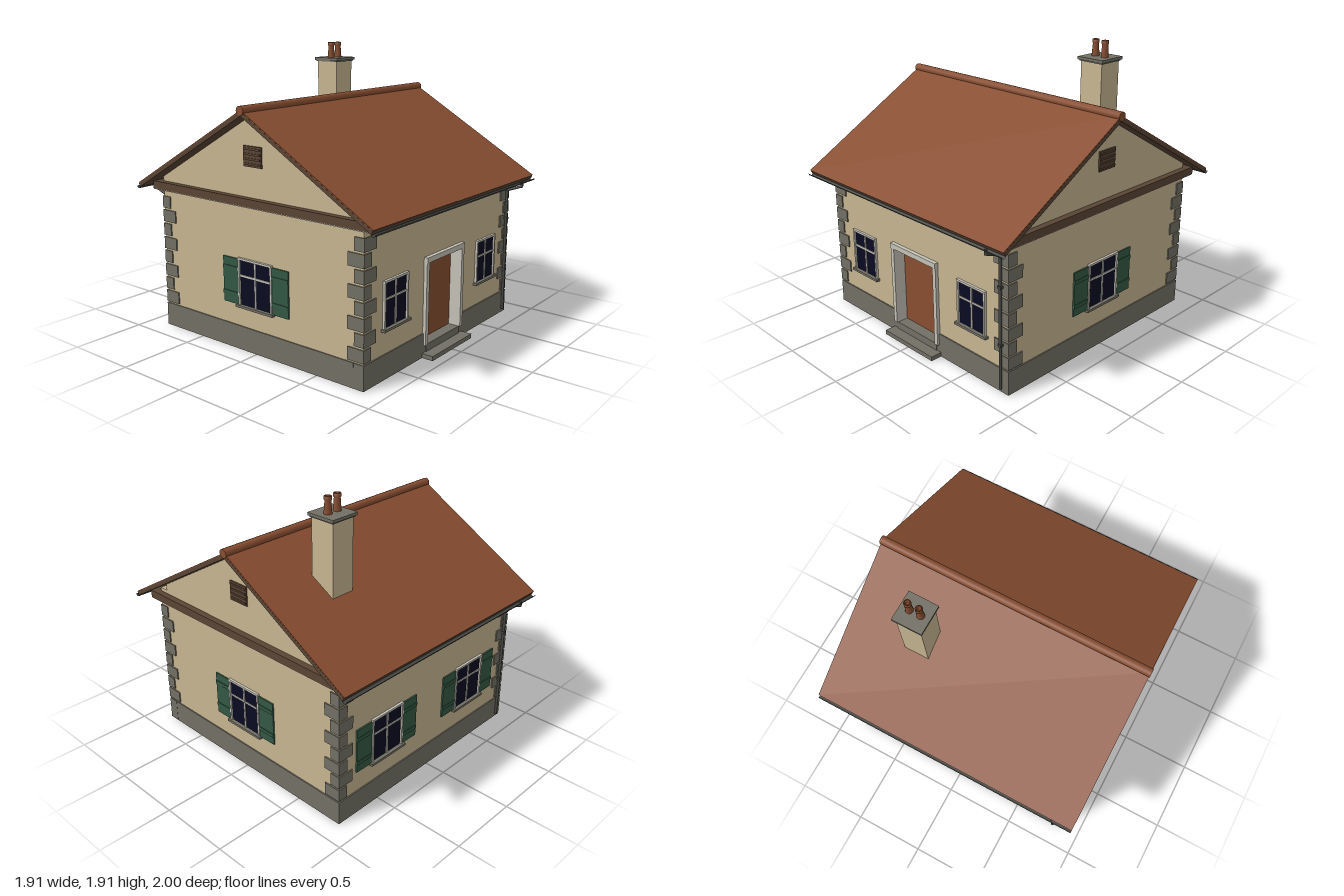
import * as THREE from 'three';

const paint = (name, color) => {
  const m = new THREE.MeshStandardMaterial({ color });
  m.name = name;
  return m;
};

export function createModel() {
  const house = new THREE.Group();
  house.name = 'house';
  const render = paint('cream render', 0xc8b692);
  const stone = paint('grey stone', 0x727065);
  const tile = paint('clay tile', 0x884e31);
  const timber = paint('brown timber', 0x5a4535);
  const trim = paint('pale trim', 0xc6c2b7);
  const glass = paint('dark glass', 0x0b0b22);
  const green = paint('green shutter', 0x335844);
  const metal = paint('dark metal', 0x484844);
  metal.side = THREE.DoubleSide;
  tile.side = THREE.DoubleSide;

  const add = (parent, name, geo, mat) => {
    const mesh = new THREE.Mesh(geo, mat);
    mesh.name = name;
    parent.add(mesh);
    return mesh;
  };
  // box given by its limits on each axis
  const block = (parent, name, mat, x0, x1, y0, y1, z0, z1) => {
    const m = add(parent, name, new THREE.BoxGeometry(x1 - x0, y1 - y0, z1 - z0), mat);
    m.position.set((x0 + x1) / 2, (y0 + y1) / 2, (z0 + z1) / 2);
    return m;
  };
  // profile of [z, y] points swept along x from -half to half
  const sweepX = (name, mat, points, half) => {
    const shape = new THREE.Shape(points.map(([z, y]) => new THREE.Vector2(-z, y)));
    const geo = new THREE.ExtrudeGeometry(shape, { depth: half * 2, bevelEnabled: false });
    geo.translate(0, 0, -half).rotateY(Math.PI / 2);
    return add(house, name, geo, mat);
  };
  // round bar between two points
  const bar = (parent, name, mat, a, b, r) => {
    const from = new THREE.Vector3(...a), dir = new THREE.Vector3(...b).sub(from);
    const m = add(parent, name, new THREE.CylinderGeometry(r, r, dir.length(), 12), mat);
    m.position.copy(from).addScaledVector(dir, 0.5);
    m.quaternion.setFromUnitVectors(new THREE.Vector3(0, 1, 0), dir.normalize());
    return m;
  };

  const W = 0.847, P = 0.855, BACK = 0.78; // wall face, plinth face, door recess

  // walls with gables, and a front skin that leaves the doorway open
  sweepX('gabledWalls', render, [[-W, 0.1], [-W, 1.055], [0, 1.543], [BACK, 1.093], [BACK, 0.1]], W);
  for (const s of [-1, 1]) {
    const [a, b] = s < 0 ? [-W, -0.2] : [0.2, W];
    block(house, 'frontWall', render, a, b, 0.1, 1.05, BACK, W);
    const [c, d] = s < 0 ? [-P, -0.2] : [0.2, P];
    block(house, 'frontPlinth', stone, c, d, 0, 0.16, BACK, P);
  }
  block(house, 'wallOverDoor', render, -0.2, 0.2, 0.62, 1.05, BACK, W);
  block(house, 'plinth', stone, -P, P, 0, 0.16, -P, BACK - 0.002);

  // doorway
  const doorway = new THREE.Group();
  doorway.name = 'doorway';
  house.add(doorway);
  block(doorway, 'door', tile, -0.195, 0.195, 0.08, 0.62, BACK - 0.005, BACK + 0.004);
  block(doorway, 'threshold', stone, -0.2, 0.2, 0, 0.08, BACK, 0.86);
  block(doorway, 'doorstep', stone, -0.24, 0.24, 0, 0.03, 0.84, 0.935);
  for (const s of [-1, 1])
    block(doorway, 'doorJamb', trim, s * 0.21 - 0.015, s * 0.21 + 0.015, 0.08, 0.63, BACK, 0.87);
  block(doorway, 'doorLintel', trim, -0.225, 0.225, 0.625, 0.66, BACK, 0.874);

  // alternating corner stones
  for (const sx of [-1, 1]) for (const sz of [-1, 1]) for (let i = 0; i < 8; i++) {
    const long = i % 2 === 1;
    const dx = long ? 0.12 : 0.072, dz = long ? 0.072 : 0.12;
    const y = 0.171 + i * 0.0955;
    const q = block(house, 'cornerStone', stone, -dx / 2, dx / 2, y, y + 0.082, -dz / 2, dz / 2);
    q.position.x = sx * (P - dx / 2);
    q.position.z = sz * (P - dz / 2);
  }

  // window facing +z, placed on a wall by position and turn
  const addWindow = (x, z, turn, w, shutters) => {
    const g = new THREE.Group();
    g.name = shutters ? 'shutteredWindow' : 'window';
    g.position.set(x, 0, z);
    g.rotation.y = turn;
    house.add(g);
    const h = w / 2, y0 = shutters ? 0.305 : 0.322, y1 = 0.622;
    block(g, 'glass', glass, -h + 0.01, h - 0.01, y0, y1 - 0.01, 0, 0.004);
    for (const s of [-1, 1])
      block(g, 'frameSide', trim, s * (h - 0.007) - 0.007, s * (h - 0.007) + 0.007, y0, y1, -0.01, 0.016);
    block(g, 'frameTop', trim, -h, h, y1 - 0.014, y1, -0.01, 0.017);
    block(g, 'mullion', trim, -0.007, 0.007, y0, y1 - 0.01, 0, 0.01);
    block(g, 'glazingBar', trim, -h + 0.01, h - 0.01, 0.498, 0.511, 0, 0.009);
    block(g, 'sill', stone, -h - 0.014, h + 0.014, y0 - 0.012, y0 + 0.004, -0.01, 0.028);
    if (!shutters) return;
    for (const s of [-1, 1]) {
      const c = s * (h + 0.068);
      block(g, 'shutter', green, c - 0.067, c + 0.067, 0.305, 0.61, -0.002, 0.01);
      for (const y of [0.36, 0.53])
        block(g, 'shutterRail', green, c - 0.067, c + 0.067, y, y + 0.025, 0.008, 0.015);
    }
  };
  for (const s of [-1, 1]) {
    addWindow(s * 0.537, W, 0, 0.25, false);
    addWindow(s * 0.42, -W, Math.PI, 0.29, true);
    addWindow(s * W, 0, s * Math.PI / 2, 0.29, true);

    // slatted gable vent
    const x = s * (W + 0.004);
    block(house, 'gableVent', timber, x - 0.006, x + 0.006, 1.22, 1.35, -0.075, 0.075);
    for (let i = 0; i < 4; i++)
      block(house, 'ventSlat', timber, x - 0.012, x + 0.012, 1.232 + i * 0.031, 1.244 + i * 0.031, -0.07, 0.07);
  }

  // eaves beam and soffit
  block(house, 'eavesBeam', timber, -0.89, 0.89, 0.973, 1.025, -0.905, 0.905);
  block(house, 'soffit', trim, -0.888, 0.888, 0.968, 0.973, -0.903, 0.903);

  // pitched roof: timber deck with a tile skin on each slope
  const slope = 0.5774;
  const roofY = (z, drop) => 1.58 - drop - slope * Math.abs(z);
  const chevron = (e, top, bottom) => [
    [-e, roofY(e, top)], [0, roofY(0, top)], [e, roofY(e, top)],
    [e - 0.012, roofY(e - 0.012, bottom)], [0, roofY(0, bottom)], [-e + 0.012, roofY(e - 0.012, bottom)]];
  sweepX('roofDeck', timber, chevron(0.982, 0.007, 0.036), 0.95);
  sweepX('roofTiles', tile, chevron(0.986, 0, 0.008), 0.949);
  bar(house, 'ridgeCap', tile, [-0.955, 1.576, 0], [0.955, 1.576, 0], 0.03);

  // gutters and downpipes
  for (const s of [-1, 1]) {
    const gutter = new THREE.CylinderGeometry(0.016, 0.016, 1.9, 12, 1, true, Math.PI / 2, Math.PI);
    const m = add(house, 'gutter', gutter.rotateZ(Math.PI / 2), metal);
    m.rotation.x = 0;
    m.position.set(0, 0.988, s * 0.984);
    // turn the open half upward
    gutter.computeBoundingBox();
    const { min, max } = gutter.boundingBox;
    if (max.y > 0.01 && min.y > -0.01) gutter.rotateX(Math.PI);
    else if (max.z < 0.01) gutter.rotateX(-Math.PI / 2);
    else if (min.z > -0.01) gutter.rotateX(Math.PI / 2);

    const pipe = new THREE.Group();
    pipe.name = 'downpipe';
    house.add(pipe);
    const x = s * 0.8, z = s * 0.867;
    bar(pipe, 'outlet', metal, [x, 0.98, s * 0.978], [x, 0.947, s * 0.978], 0.01);
    bar(pipe, 'swanNeck', metal, [x, 0.953, s * 0.982], [x, 0.91, z], 0.009);
    bar(pipe, 'pipe', metal, [x, 0.915, z], [x, 0.03, z], 0.01);
    for (const y of [0.32, 0.7])
      block(pipe, 'pipeClip', metal, x - 0.014, x + 0.014, y, y + 0.015, z - 0.012, z + 0.012);
  }

  // chimney with stepped cap and hollow pots
  const chimney = new THREE.Group();
  chimney.name = 'chimney';
  house.add(chimney);
  block(chimney, 'stack', render, 0.356, 0.53, 1.15, 1.785, -0.49, -0.315);
  block(chimney, 'capBase', stone, 0.347, 0.539, 1.777, 1.79, -0.498, -0.307);
  block(chimney, 'cap', stone, 0.338, 0.547, 1.786, 1.805, -0.507, -0.298);
  const potProfile = [[0.026, 0], [0.02, 0.085], [0.024, 0.09], [0.024, 0.112], [0.014, 0.112], [0.014, 0.01], [0, 0.01]];
  for (const x of [0.403, 0.481]) {
    const pot = add(chimney, 'chimneyPot',
      new THREE.LatheGeometry(potProfile.map(p => new THREE.Vector2(...p)), 16), tile);
    pot.position.set(x, 1.802, -0.403);
  }
  return house;
}
